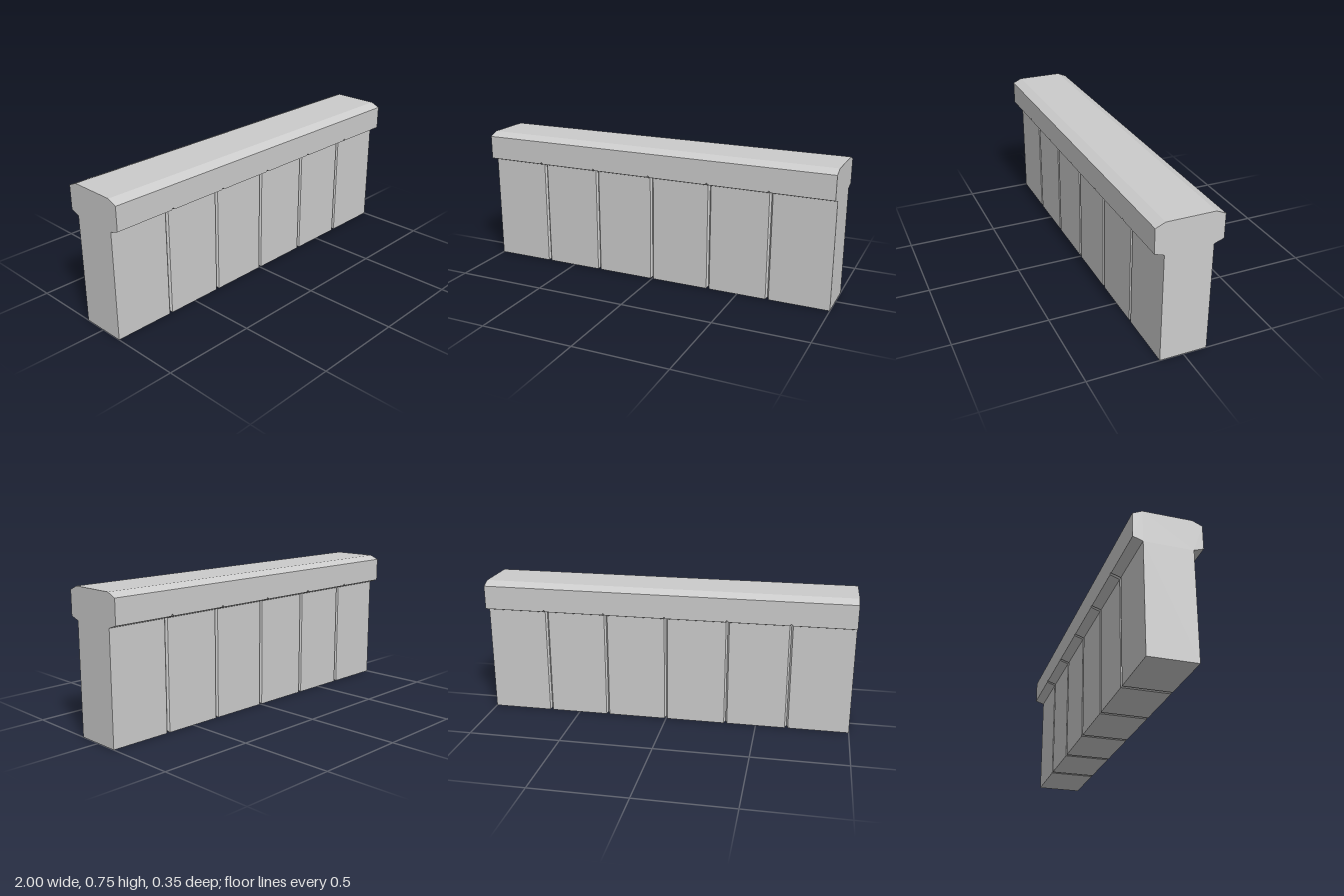
import * as THREE from 'three';

// Right half of the wall's section as [z, y], from the foot up to the coping top
const plainHalf = [[0.125, 0], [0.125, 0.583], [0.175, 0.6], [0.175, 0.728], [0.125, 0.75]];
// The same section at the bottom of a V groove
const grooveHalf = [[0.115, 0.011], [0.115, 0.591], [0.175, 0.61], [0.175, 0.728], [0.125, 0.75]];

const mirrored = half => [...half, ...half.slice().reverse().map(([z, y]) => [-z, y])];

// Joins the sections along x into a closed solid with flat faces
function loft(sections) {
  const positions = [];
  const put = (section, i) => {
    const [z, y] = section.points[i % section.points.length];
    positions.push(section.x, y, z);
  };
  for (let s = 0; s < sections.length - 1; s++) {
    const a = sections[s], b = sections[s + 1];
    for (let i = 0; i < a.points.length; i++) {
      put(a, i); put(b, i); put(b, i + 1);
      put(a, i); put(b, i + 1); put(a, i + 1);
    }
  }
  // End faces
  const first = sections[0], last = sections[sections.length - 1];
  const outline = first.points.map(([z, y]) => new THREE.Vector2(z, y));
  for (const [i, j, k] of THREE.ShapeUtils.triangulateShape(outline, [])) {
    put(first, i); put(first, j); put(first, k);
    put(last, i); put(last, k); put(last, j);
  }
  const geometry = new THREE.BufferGeometry();
  geometry.setAttribute('position', new THREE.Float32BufferAttribute(positions, 3));
  geometry.computeVertexNormals();
  return geometry;
}

export function createModel() {
  const group = new THREE.Group();
  group.name = 'copedWall';
  const plain = mirrored(plainHalf), groove = mirrored(grooveHalf);
  const panels = 6, halfGroove = 0.009;

  // Six panels parted by V grooves, under one continuous coping
  const sections = [{ x: -1, points: plain }];
  for (let i = 1; i < panels; i++) {
    const x = -1 + (2 * i) / panels;
    sections.push(
      { x: x - halfGroove, points: plain },
      { x, points: groove },
      { x: x + halfGroove, points: plain }
    );
  }
  sections.push({ x: 1, points: plain });

  const material = new THREE.MeshStandardMaterial({ color: 0xcccccc, flatShading: true });
  const wall = new THREE.Mesh(loft(sections), material);
  wall.name = 'groovedWallWithCoping';
  group.add(wall);
  return group;
}
